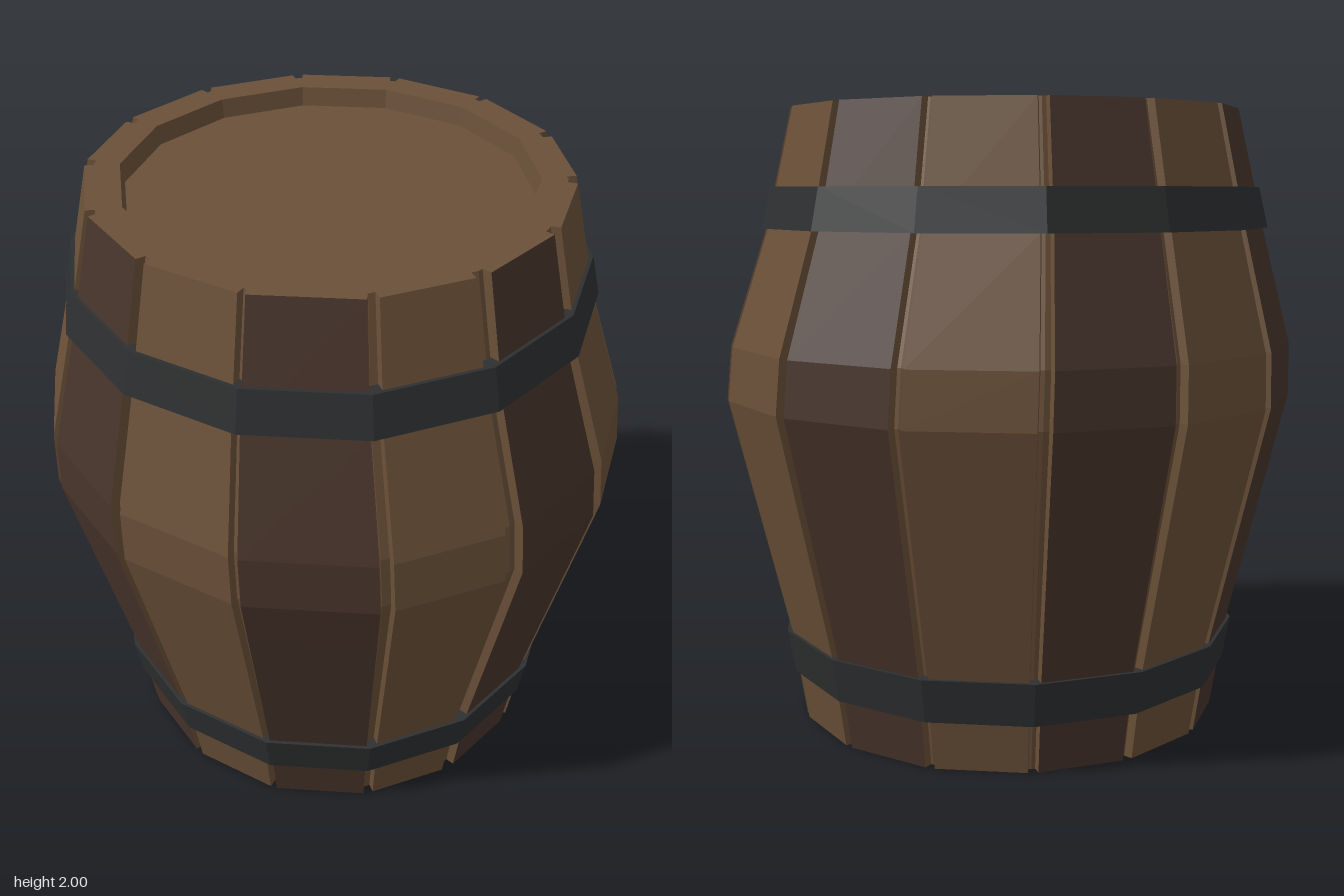
import * as THREE from 'three';

const SIDES = 14;
const STEP = (Math.PI * 2) / SIDES;
const GROOVE = 0.03; // depth of the gaps between staves
const BELLY = 0.92;

// Outer stave surface: [distance from axis to flat, height]
const PROFILE = [[0.69, 0], [0.737, 0.3], [0.878, 0.9], [0.92, 1.08], [0.91, 1.25], [0.805, 1.62], [0.72, 2]];
// Slightly uneven stave widths at the belly
const WIDTHS = [0.35, 0.36, 0.36, 0.35, 0.4, 0.38, 0.37, 0.37, 0.36, 0.38, 0.37, 0.38, 0.38, 0.38];

const toCorner = (flat) => flat / Math.cos(STEP / 2);
// The upper half leans slightly to one side
const lean = (y) => -0.02 * THREE.MathUtils.clamp((y - 1.1) / 0.5, 0, 1);

function applyLean(geometry) {
  const p = geometry.attributes.position;
  for (let i = 0; i < p.count; i++) p.setX(i, p.getX(i) + lean(p.getY(i)));
  geometry.computeVertexNormals();
  return geometry;
}

// Faceted solid of revolution with corners at the stave gaps
function turned(points) {
  const lathe = new THREE.LatheGeometry(points.map(([r, y]) => new THREE.Vector2(r, y)), SIDES);
  return applyLean(lathe.toNonIndexed());
}

// One bent plank; group 0 is its outer face, group 1 its edges and ends
function staveGeometry(angle, width) {
  const c = Math.cos(angle), s = Math.sin(angle);
  const rings = PROFILE.map(([r, y]) => {
    const h = (width / 2) * (r / BELLY);
    const corner = (d, t) => [c * d - s * t, y, s * d + c * t];
    return [corner(r, h), corner(r, -h), corner(r - GROOVE, -h), corner(r - GROOVE, h)];
  });
  const face = [], edge = [];
  const quad = (out, a, b, d, e) => out.push(...a, ...b, ...d, ...a, ...d, ...e);
  for (let i = 0; i < rings.length - 1; i++) {
    const lo = rings[i], hi = rings[i + 1];
    quad(face, lo[0], lo[1], hi[1], hi[0]);
    quad(edge, lo[1], lo[2], hi[2], hi[1]);
    quad(edge, lo[3], lo[0], hi[0], hi[3]);
  }
  const top = rings[rings.length - 1], bottom = rings[0];
  quad(edge, ...top);
  quad(edge, bottom[3], bottom[2], bottom[1], bottom[0]);

  const geometry = new THREE.BufferGeometry();
  geometry.setAttribute('position', new THREE.Float32BufferAttribute([...face, ...edge], 3));
  geometry.addGroup(0, face.length / 3, 0);
  geometry.addGroup(face.length / 3, edge.length / 3, 1);
  return applyLean(geometry);
}

export function createModel() {
  const material = (name, color) => {
    const m = new THREE.MeshStandardMaterial({ color });
    m.name = name;
    m.flatShading = true;
    return m;
  };
  const lightWood = material('lightWood', 0x6a5038);
  const darkWood = material('darkWood', 0x47342b);
  const iron = material('iron', 0x2d2f30);

  const barrel = new THREE.Group();
  barrel.name = 'barrel';
  const add = (name, geometry, mat, parent = barrel) => {
    const mesh = new THREE.Mesh(geometry, mat);
    mesh.name = name;
    parent.add(mesh);
  };

  // Inner body with the recessed lid
  add('body', turned([
    [0, 0],
    ...PROFILE.map(([r, y]) => [toCorner(r - GROOVE), y]),
    [0.63, 2], [0.62, 1.94], [0, 1.94],
  ]), lightWood);

  // Staves alternating dark and light
  const staves = new THREE.Group();
  staves.name = 'staves';
  barrel.add(staves);
  WIDTHS.forEach((width, k) => {
    add('stave' + (k + 1), staveGeometry(k * STEP, width), [k % 2 ? lightWood : darkWood, lightWood], staves);
  });

  // Iron hoops
  const hoop = (name, r0, y0, r1, y1) => add(name, turned([
    [r0 - 0.05, y0], [toCorner(r0), y0], [toCorner(r1), y1], [r1 - 0.05, y1],
  ]), iron);
  hoop('lowerHoop', 0.724, 0.16, 0.748, 0.3);
  hoop('upperHoop', 0.816, 1.62, 0.787, 1.75);

  return barrel;
}
